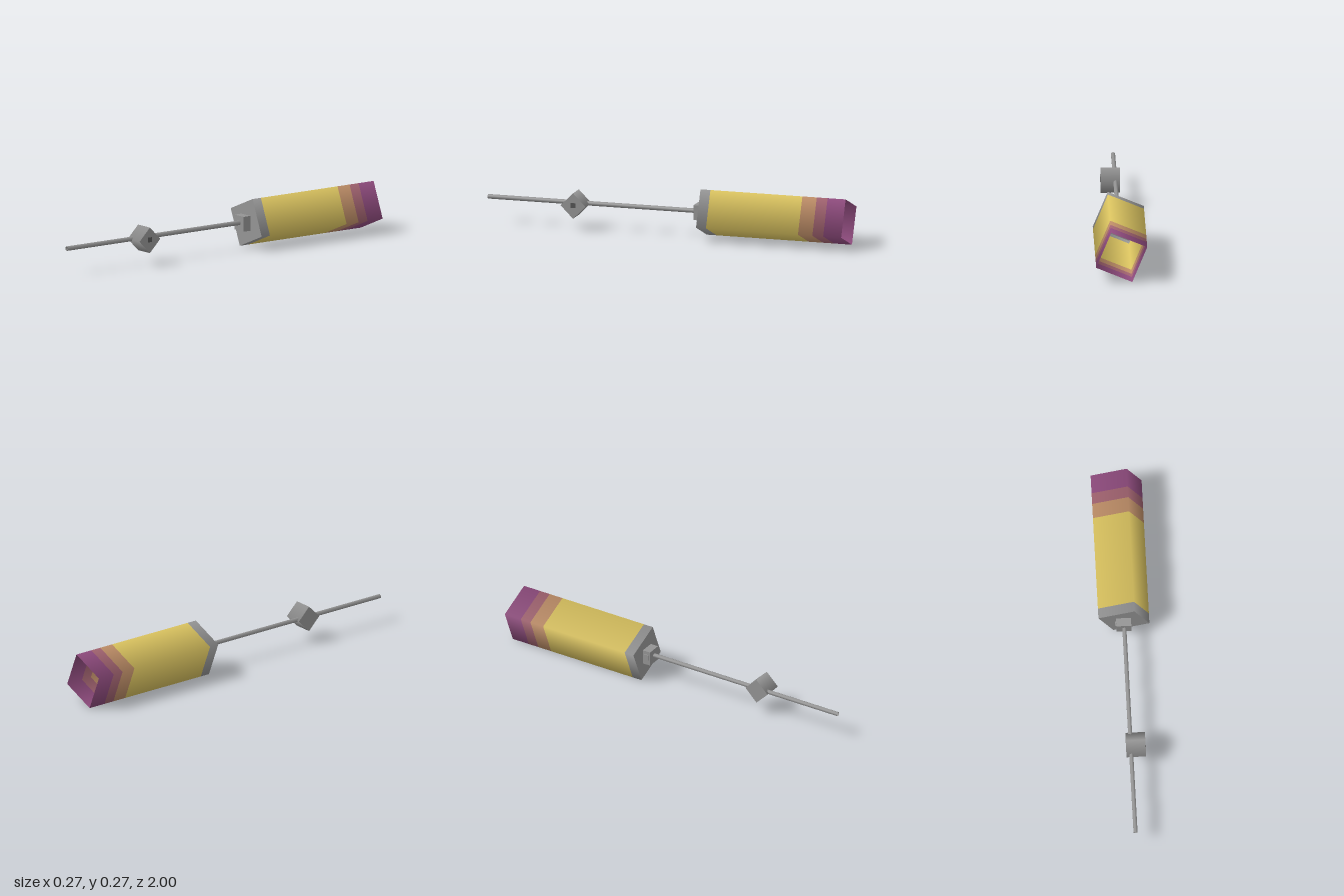
import * as THREE from 'three';

const mat = (name, color) => {
  const m = new THREE.MeshStandardMaterial({ color, side: THREE.DoubleSide });
  m.name = name;
  return m;
};

export function createModel() {
  const group = new THREE.Group();
  const grey = mat('grey metal', 0x949494);
  const yellow = mat('yellow', 0xd9c25f);
  const tan = mat('tan', 0xbc8c66);
  const mauve = mat('mauve', 0xa0626f);
  const purple = mat('purple', 0x8d4a7c);
  const dark = mat('dark grey', 0x555555);

  const add = (name, geometry, material, x, y, z) => {
    const mesh = new THREE.Mesh(geometry, material);
    mesh.name = name;
    mesh.position.set(x, y, z);
    group.add(mesh);
    return mesh;
  };

  // Smooth-shaded, few-sided prism running along z
  const prismZ = (radius, from, to, sides, start) =>
    new THREE.CylinderGeometry(radius, radius, to - from, sides, 1, true, start)
      .rotateX(Math.PI / 2).translate(0, 0, (from + to) / 2);

  // Square hollow handle in coloured bands, open at the back
  const turn = Math.PI * 3 / 8, radius = 0.1462, mid = 0.136;
  const bands = [
    ['handleCollarBand', grey, -0.25, -0.195],
    ['handleGrip', yellow, -0.76, -0.25],
    ['handleTanBand', tan, -0.84, -0.76],
    ['handleMauveBand', mauve, -0.90, -0.84],
    ['handlePurpleEnd', purple, -1, -0.90],
  ];
  for (const [name, material, from, to] of bands)
    add(name, prismZ(radius, from, to, 4, turn), material, 0, mid, 0);

  // Flat plate closing the front of the handle
  add('handleFrontPlate', new THREE.CircleGeometry(radius, 4, Math.PI / 8 + Math.PI / 4), grey, 0, mid, -0.195);

  // Socket with a small side stud
  add('socket', new THREE.BoxGeometry(0.079, 0.08, 0.045), grey, -0.0025, 0.137, -0.1725);
  add('socketStud', new THREE.BoxGeometry(0.006, 0.03, 0.025), grey, -0.044, 0.143, -0.1725);

  // Thin hollow rod
  add('rod', prismZ(0.0125, -0.15, 1, 6, 0), grey, 0, 0.14, 0);

  // Diamond-set block threaded on the rod, with a dark pin head on its end
  add('slidingBlock', new THREE.CylinderGeometry(0.069, 0.069, 0.103, 4).rotateZ(-Math.PI / 2),
    grey, 0.0265, 0.137, 0.505);
  add('pinHead', new THREE.BoxGeometry(0.002, 0.026, 0.026), dark, 0.078, 0.14, 0.505);

  return group;
}
